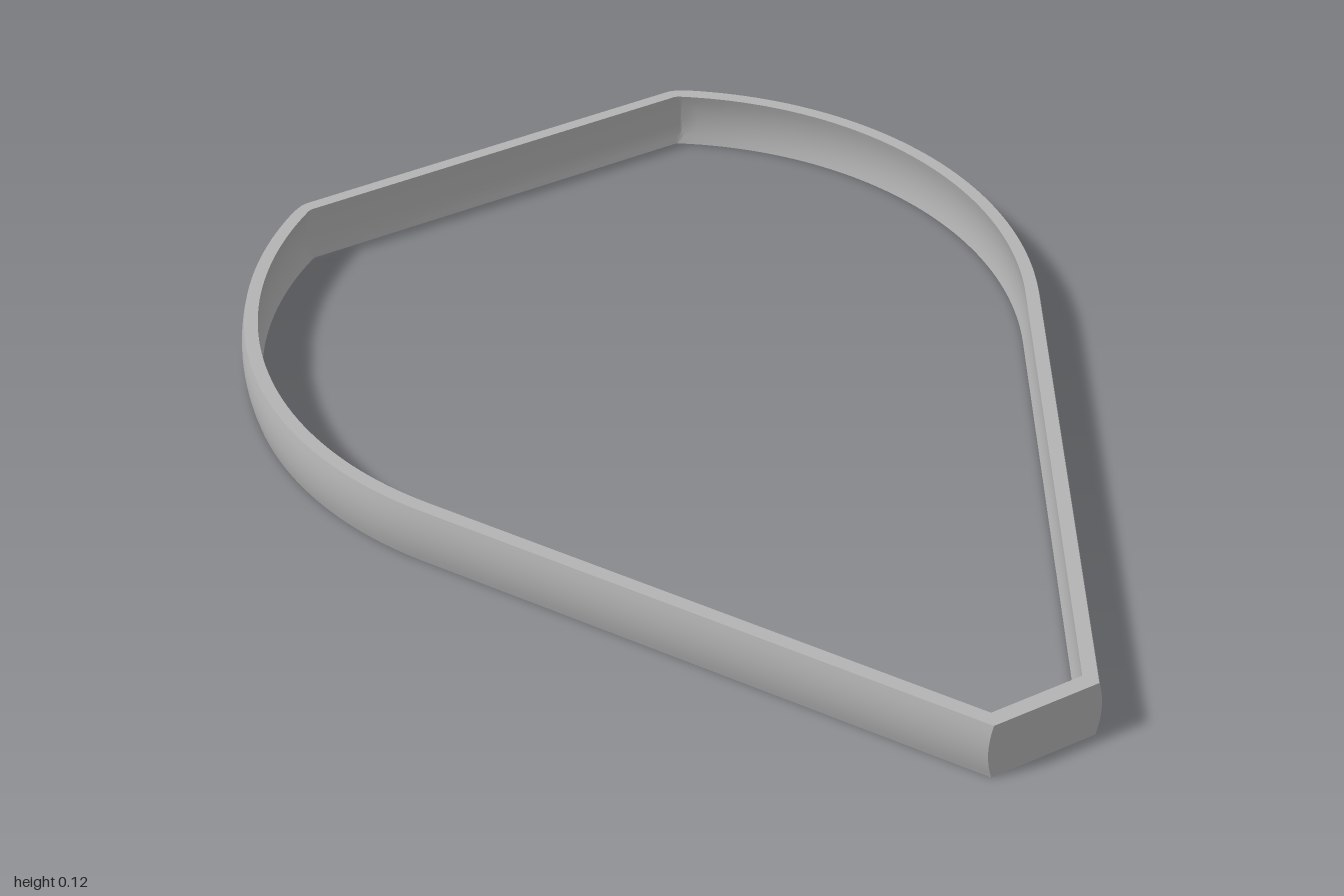
import * as THREE from 'three';
import { toCreasedNormals } from 'three/addons/utils/BufferGeometryUtils.js';

const HEIGHT = 0.115;
const CENTRE_Z = -0.37;
const BULGE = 0.008;
const ROWS = 8;

// Closed outline: narrow front edge, straight flanks tangent to a round arc, flat back.
function outline({ radius, frontX, frontZ, backZ, cornerDrop, cornerRun }) {
  const dz = frontZ - CENTRE_Z;
  const start = Math.atan2(dz, frontX) - Math.acos(radius / Math.hypot(frontX, dz));
  const end = Math.asin((backZ + cornerDrop - CENTRE_Z) / radius);
  const half = [];
  const tangent = [radius * Math.cos(start), CENTRE_Z + radius * Math.sin(start)];
  // straight flank
  for (let i = 0; i < 8; i++) {
    const t = i / 8;
    half.push([frontX + (tangent[0] - frontX) * t, frontZ + (tangent[1] - frontZ) * t]);
  }
  // round arc
  for (let i = 0; i <= 48; i++) {
    const a = start + (end - start) * i / 48;
    half.push([radius * Math.cos(a), CENTRE_Z + radius * Math.sin(a)]);
  }
  // softened back corner
  const [ex, ez] = half[half.length - 1];
  const cx = ex + cornerDrop * Math.tan(end);
  const curve = new THREE.QuadraticBezierCurve(
    new THREE.Vector2(ex, ez), new THREE.Vector2(cx, backZ), new THREE.Vector2(cx - cornerRun, backZ));
  for (let i = 1; i <= 5; i++) half.push(curve.getPoint(i / 5).toArray());
  // mirrored half
  return [...half, ...half.slice().reverse().map(([x, z]) => [-x, z])];
}

function createBandGeometry() {
  // Cross-section rows: up the outer wall, then down the inner wall
  const rows = [];
  for (let i = 0; i <= ROWS; i++) {
    const t = i / ROWS;
    const b = BULGE * (2 * t - 1) ** 2;
    rows.push({ y: t * HEIGHT, points: outline({
      radius: 0.77 - b, frontX: 0.115 - b * 1.14, frontZ: 1, backZ: -1,
      cornerDrop: 0.022, cornerRun: 0.018 }) });
  }
  for (let i = ROWS; i >= 0; i--) {
    const t = i / ROWS;
    const b = BULGE * (2 * t - 1) ** 2;
    rows.push({ y: t * HEIGHT, points: outline({
      radius: 0.744 - b, frontX: 0.101 - b * 1.14, frontZ: 0.97, backZ: -0.975,
      cornerDrop: 0.005, cornerRun: 0.005 }) });
  }

  const count = rows[0].points.length;
  const positions = [];
  const indices = [];
  rows.forEach(({ y, points }) => points.forEach(([x, z]) => positions.push(x, y, z)));
  for (let r = 0; r < rows.length; r++) {
    const next = (r + 1) % rows.length;
    for (let j = 0; j < count; j++) {
      const k = (j + 1) % count;
      const a = r * count + j, b = r * count + k;
      const c = next * count + k, d = next * count + j;
      indices.push(a, b, c, a, c, d);
    }
  }
  const geometry = new THREE.BufferGeometry();
  geometry.setAttribute('position', new THREE.Float32BufferAttribute(positions, 3));
  geometry.setIndex(indices);
  return toCreasedNormals(geometry, 0.5);
}

export function createModel() {
  const group = new THREE.Group();
  group.name = 'taperedBand';
  const greyMetal = new THREE.MeshStandardMaterial({ color: 0xb3b3b3 });
  greyMetal.name = 'grey metal';
  const band = new THREE.Mesh(createBandGeometry(), greyMetal);
  band.name = 'band';
  group.add(band);
  return group;
}
